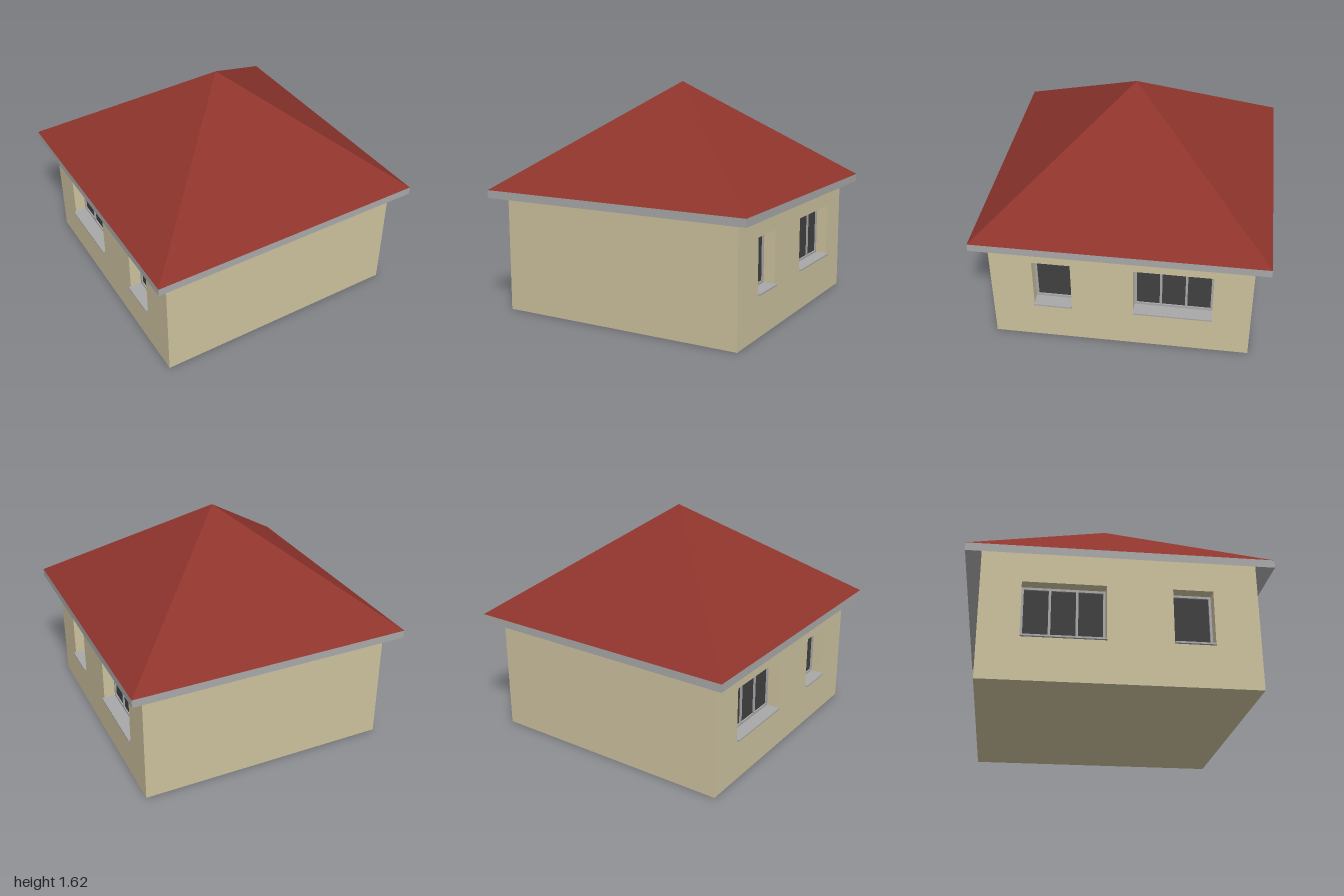
import * as THREE from 'three';

const mat = (color, extra = {}) => new THREE.MeshStandardMaterial({ color, flatShading: true, ...extra });
const wallMat = mat(0xccc19e);
const roofMat = mat(0x8e342c);
const trimMat = mat(0xa8a8a8);
const glassMat = mat(0x404040);

const HALF = 0.9;        // half width of the house
const CORE = 0.8;        // inner face of the window walls
const WALL_TOP = 0.894;  // walls meet the sloping underside of the roof
const EAVE_LOW = 0.82, EAVE_TOP = 0.875, RISE = 0.74;

// z range and number of panes of each window
const WINDOWS = [
  { name: 'smallWindow', z0: 0.34, z1: 0.605, panes: 1 },
  { name: 'wideWindow', z0: -0.635, z1: -0.09, panes: 3 },
];
const SILL_LOW = 0.29, SILL_TOP = 0.302, HEAD = 0.672, BAR = 0.016;

function mesh(name, geometry, material, parent) {
  const m = new THREE.Mesh(geometry, material);
  m.name = name;
  parent.add(m);
  return m;
}

function box(name, w, h, d, x, y, z, material, parent) {
  const m = mesh(name, new THREE.BoxGeometry(w, h, d), material, parent);
  m.position.set(x, y, z);
  return m;
}

function rectPoints(x0, y0, x1, y1) {
  return [[x0, y0], [x1, y0], [x1, y1], [x0, y1]].map(([x, y]) => new THREE.Vector2(x, y));
}

function extrudeWithHoles(outer, holes, depth) {
  const shape = new THREE.Shape(rectPoints(...outer));
  shape.holes = holes.map((h) => new THREE.Path(rectPoints(...h)));
  return new THREE.ExtrudeGeometry(shape, { depth, bevelEnabled: false });
}

// One windowed wall, drawn in its own plane and turned to face +x (side 1) or -x (side -1)
function windowWall(side) {
  const wall = new THREE.Group();
  wall.name = side > 0 ? 'leftWall' : 'rightWall';
  wall.rotation.y = side * Math.PI / 2;

  const openings = WINDOWS.map((w) => {
    const a = -side * w.z0, b = -side * w.z1;
    return { ...w, u0: Math.min(a, b), u1: Math.max(a, b) };
  });

  const panel = extrudeWithHoles([-HALF, 0, HALF, WALL_TOP],
    openings.map((o) => [o.u0, SILL_LOW, o.u1, HEAD]), HALF - CORE);
  mesh('wallPanel', panel, wallMat, wall).position.z = CORE;

  for (const { name, u0, u1, panes } of openings) {
    const win = new THREE.Group();
    win.name = name;
    wall.add(win);
    const mid = (u0 + u1) / 2, width = u1 - u0;

    // Frame with one hole per pane
    const paneWidth = (width - BAR * (panes + 1)) / panes;
    const holes = [];
    for (let i = 0; i < panes; i++) {
      const left = u0 + BAR + i * (paneWidth + BAR);
      holes.push([left, SILL_TOP + BAR, left + paneWidth, HEAD - BAR]);
    }
    mesh('frame', extrudeWithHoles([u0, SILL_TOP, u1, HEAD], holes, 0.02), trimMat, win).position.z = CORE;

    box('glass', width - BAR, HEAD - SILL_TOP - BAR, 0.008, mid, (HEAD + SILL_TOP) / 2, CORE + 0.006, glassMat, win);

    // Sill projecting past the wall
    const front = 0.917;
    box('sill', width, SILL_TOP - SILL_LOW, front - CORE, mid, (SILL_LOW + SILL_TOP) / 2, (front + CORE) / 2, trimMat, win);
  }
  return wall;
}

// Four-sided open cone or prism with edges parallel to the axes
function squareRing(topHalf, bottomHalf, height) {
  const r = Math.SQRT2;
  return new THREE.CylinderGeometry(topHalf * r, bottomHalf * r, height, 4, 1, true)
    .rotateY(Math.PI / 4).translate(0, height / 2, 0);
}

export function createModel() {
  const house = new THREE.Group();
  house.name = 'house';

  // Walls
  box('houseBody', 2 * CORE, WALL_TOP, 2 * HALF, 0, WALL_TOP / 2, 0, wallMat, house);
  for (const side of [1, -1]) house.add(windowWall(side));

  // Pyramid roof: tiles, eave fascia and sloping soffit
  const roof = new THREE.Group();
  roof.name = 'roof';
  house.add(roof);
  mesh('roofTiles', squareRing(0, 1, RISE), roofMat, roof).position.y = EAVE_TOP;
  mesh('fascia', squareRing(1, 1, EAVE_TOP - EAVE_LOW), trimMat, roof).position.y = EAVE_LOW;
  const soffitMat = mat(0xa8a8a8, { side: THREE.BackSide });
  mesh('soffit', squareRing(0, 1, RISE), soffitMat, roof).position.y = EAVE_LOW;

  return house;
}
